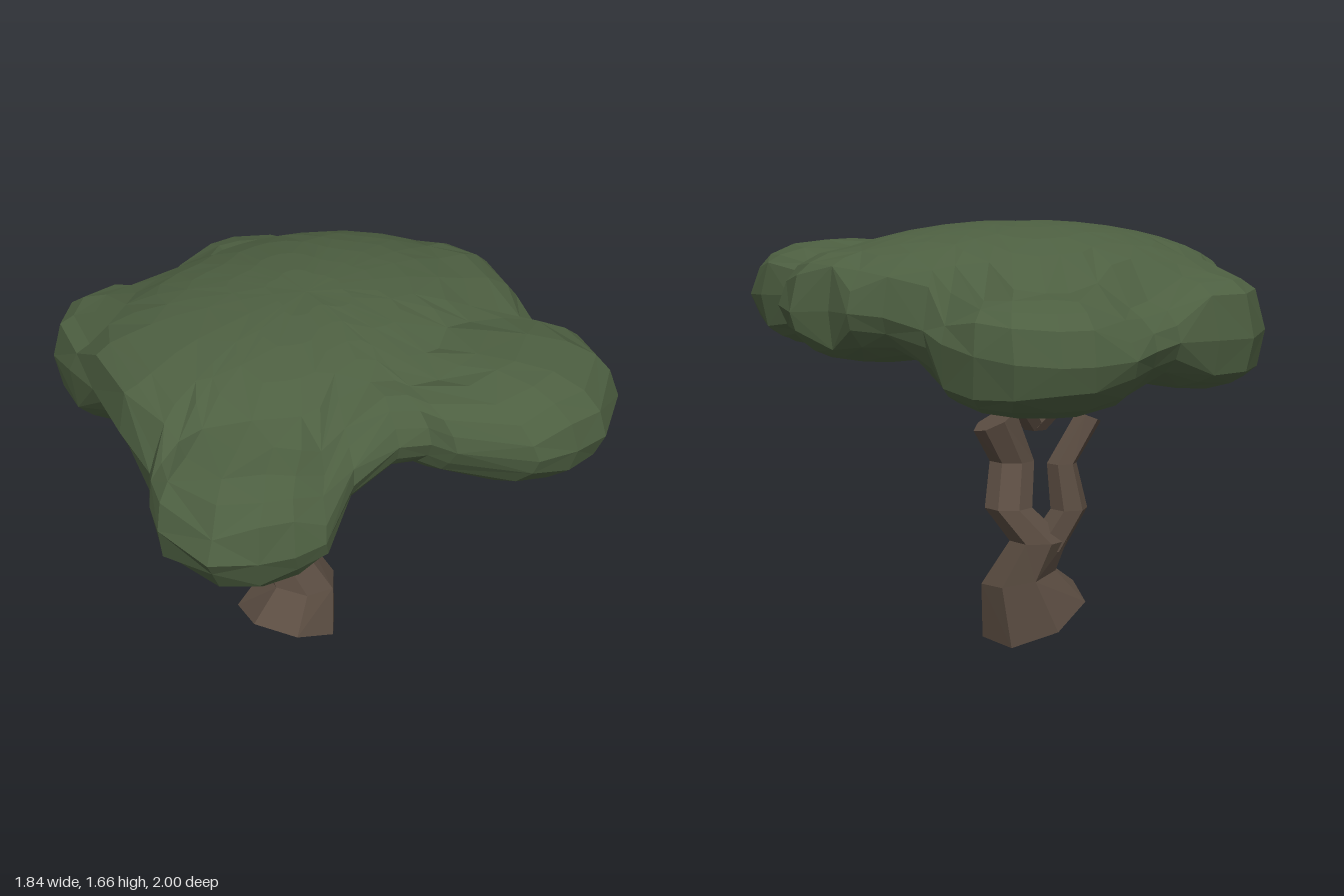
import * as THREE from 'three';

const leafGreen = new THREE.MeshStandardMaterial({ color: 0x4d5f41, flatShading: true });
leafGreen.name = 'leafGreen';
const barkBrown = new THREE.MeshStandardMaterial({ color: 0x5a4c41, flatShading: true });
barkBrown.name = 'barkBrown';

// Skin a stack of closed loops, listed bottom to top, and cap both ends
function loft(rings, name, material) {
  const n = rings[0].length;
  const pos = [];
  const tri = (...corners) => corners.forEach((p) => pos.push(p.x, p.y, p.z));
  const middle = (ring) => ring.reduce((s, p) => s.add(p), new THREE.Vector3()).divideScalar(n);
  const low = rings[0], high = rings[rings.length - 1];
  const lowMid = middle(low), highMid = middle(high);
  for (let i = 0; i < n; i++) {
    const j = (i + 1) % n;
    for (let k = 0; k < rings.length - 1; k++) {
      const a = rings[k][i], b = rings[k][j], c = rings[k + 1][i], d = rings[k + 1][j];
      if ((i + k) % 2) { tri(a, c, b); tri(b, c, d); }
      else { tri(a, d, b); tri(a, c, d); }
    }
    tri(lowMid, low[i], low[j]);
    tri(highMid, high[j], high[i]);
  }
  const geo = new THREE.BufferGeometry();
  geo.setAttribute('position', new THREE.Float32BufferAttribute(pos, 3));
  geo.computeVertexNormals();
  const mesh = new THREE.Mesh(geo, material);
  mesh.name = name;
  return mesh;
}

// Faceted limb; each station is x, y, z, radius, slope along x, slope along z
function limb(name, stations, sides = 7) {
  const rings = stations.map(([x, y, z, r, sx = 0, sz = 0]) =>
    Array.from({ length: sides }, (_, i) => {
      const a = (i / sides) * Math.PI * 2 + 0.2;
      const dx = Math.cos(a) * r, dz = Math.sin(a) * r;
      return new THREE.Vector3(x + dx, y + sx * dx + sz * dz, z + dz);
    }));
  return loft(rings, name, barkBrown);
}

// Rim of the canopy: x, z and height of the widest point
const RIM = [
  [-0.58, -0.8, 1.25], [-0.42, -0.825, 1.25], [-0.25, -0.84, 1.25], [-0.12, -0.9, 1.23],
  [0, -0.98, 1.21], [0.17, -1, 1.2], [0.29, -0.99, 1.2], [0.43, -0.91, 1.21],
  [0.52, -0.78, 1.23], [0.57, -0.62, 1.26], [0.6, -0.53, 1.3], [0.7, -0.4, 1.34],
  [0.8, -0.31, 1.35], [0.82, -0.17, 1.35], [0.92, -0.03, 1.34], [0.89, 0.2, 1.35],
  [0.78, 0.42, 1.37], [0.83, 0.62, 1.36], [0.81, 0.83, 1.35], [0.6, 0.99, 1.35],
  [0.46, 1, 1.35], [0.3, 0.98, 1.36], [0.08, 0.8, 1.38], [0.03, 0.72, 1.39],
  [-0.08, 0.68, 1.4], [-0.28, 0.69, 1.33], [-0.48, 0.81, 1.25], [-0.6, 0.8, 1.24],
  [-0.72, 0.76, 1.24], [-0.87, 0.68, 1.25], [-0.92, 0.45, 1.27], [-0.88, 0.33, 1.28],
  [-0.81, 0.22, 1.32], [-0.8, 0, 1.36], [-0.74, -0.3, 1.35], [-0.73, -0.5, 1.32],
  [-0.7, -0.69, 1.27],
];

// Lobes that shape the canopy: centre x, y, z, radii x, y, z, roundness power
const LOBES = [
  [0, 1.4, -0.05, 0.85, 0.265, 0.65, 2], // main dome
  [0.47, 1.36, 0.62, 0.38, 0.22, 0.38, 2.5], // front left
  [-0.57, 1.25, 0.45, 0.35, 0.24, 0.34, 2.5], // front right
  [0.2, 1.21, -0.62, 0.38, 0.22, 0.38, 2.5], // back
  [0.55, 1.36, 0, 0.37, 0.215, 0.4, 2.5], // left side
  [-0.45, 1.27, -0.55, 0.3, 0.22, 0.3, 2.5], // back right
];

// Canopy layers: spread and least thickness above or below the rim
const LAYERS = [
  [0.15, 0], [0.3, 0.04], [0.45, 0.08], [0.58, 0.13], [0.7, 0.15], [0.82, 0.14], [0.91, 0.11], [0.97, 0.06],
];

// Outermost height of the lobes over a point; side is 1 for the top, -1 for the underside
function foliageHeight(x, z, side, start) {
  let y = start;
  for (const [cx, cy, cz, rx, ry, rz, p] of LOBES) {
    const d = Math.hypot((x - cx) / rx, (z - cz) / rz);
    if (d < 1) {
      const edge = cy + side * ry * Math.pow(1 - Math.pow(d, p), 1 / p);
      y = side * Math.max(side * y, side * edge);
    }
  }
  return y;
}

function canopy() {
  let seed = 7;
  const jitter = (size) => {
    seed = (seed * 16807) % 2147483647;
    return (seed / 2147483647 - 0.5) * size;
  };
  const layer = (side) => ([s, least]) => RIM.map(([rx, rz, h]) => {
    const rough = s > 0.5 ? 0.02 : 0;
    const x = rx * s + jitter(rough), z = rz * s + jitter(rough);
    return new THREE.Vector3(x, foliageHeight(x, z, side, h + side * least), z);
  });
  const rim = RIM.map(([x, z, h]) => new THREE.Vector3(x, h, z));
  const rings = [...LAYERS.map(layer(-1)), rim, ...LAYERS.map(layer(1)).reverse()];
  return loft(rings, 'canopy', leafGreen);
}

export function createModel() {
  const tree = new THREE.Group();
  tree.name = 'tree';
  tree.add(
    canopy(),
    // Flared, slanting foot that bends up into the thick branch
    limb('trunk', [
      [-0.08, 0.1, -0.01, 0.21, -0.45, 0.16], [0, 0.27, -0.035, 0.15, -0.2, 0],
      [-0.055, 0.42, -0.1, 0.115], [0.05, 0.55, -0.05, 0.095],
      [0, 0.72, 0.025, 0.09], [0.085, 0.89, 0, 0.085, -0.5, 0],
    ]),
    // Thinner fork on the other side
    limb('forkBranch', [
      [-0.08, 0.38, -0.1, 0.085], [-0.175, 0.54, -0.13, 0.075],
      [-0.15, 0.72, -0.115, 0.06], [-0.27, 0.895, -0.11, 0.05, 0.4, 0],
    ], 6),
  );
  // Twigs that fan out from one point to hold the canopy: tip position and thickness
  [[0.22, 1.2, -0.22, 0.055], [-0.35, 1.17, -0.2, 0.042], [-0.13, 1.24, 0.36, 0.045]]
    .forEach(([x, y, z, r], i) => {
      tree.add(limb('twig' + (i + 1), [
        [-0.09, 0.84, 0, 0.045], [-0.09 + (x + 0.09) * 0.45, 1, z * 0.42, r], [x, y, z, r],
      ], 5));
    });
  return tree;
}
